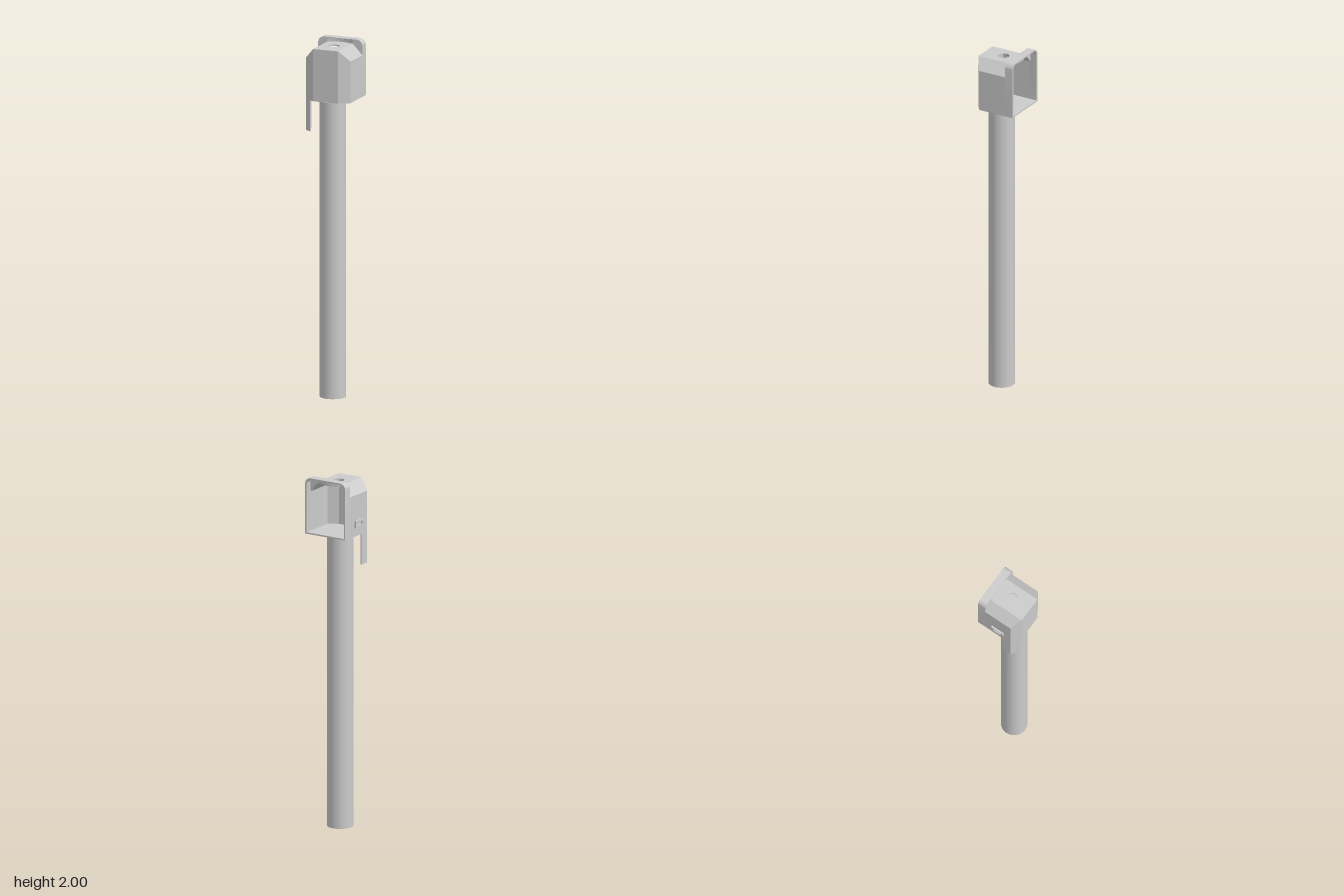
import * as THREE from 'three';
import { toCreasedNormals } from 'three/addons/utils/BufferGeometryUtils.js';

const CX = 0.004;              // housing centre line
const W = 0.1325, M = 0.075;   // half width, half width of the flat front
const FLOOR = 1.68, EAVE = 1.915, ROOF = 1.975, TOP = 2.0;
const FRONT = 0.125, SIDE = 0.088, STEP = -0.08, BACK = -0.128;
const T = 0.008;               // wall thickness

const material = new THREE.MeshStandardMaterial({ color: 0xcccccc, side: THREE.DoubleSide });

// rear edge of the roof bows backwards between the two slopes
const bow = (x) => STEP - 0.017 * Math.max(0, 1 - (x / M) ** 2);

function add(group, name, geometry, x = 0, y = 0, z = 0) {
  const mesh = new THREE.Mesh(geometry, material);
  mesh.name = name;
  mesh.position.set(x, y, z);
  group.add(mesh);
  return mesh;
}

const toShape = (pts) => new THREE.Shape(pts.map(([x, y]) => new THREE.Vector2(x, y)));

// extrude a plan drawn as (x, z) upwards from y0
function plan(shape, y0, height) {
  const g = new THREE.ExtrudeGeometry(shape, { depth: height, bevelEnabled: false, curveSegments: 12 });
  return g.rotateX(Math.PI / 2).translate(0, y0 + height, 0);
}

// chamfered walls and roof slopes, one skin inset by t
function skin(t, out, flip) {
  const w = W - t, m = M - t * 0.4;
  const section = [[-w, FLOOR], [-m, FLOOR], [m, FLOOR], [w, FLOOR],
    [w, EAVE - t * 0.4], [m, ROOF - t], [-m, ROOF - t], [-w, EAVE - t * 0.4]];
  const front = section.map(([x, y]) => [x, y, Math.abs(x) === w ? SIDE - t * 0.4 : FRONT - t]);
  const back = section.map(([x, y]) => [x, y, STEP]);
  const quad = (a, b, c, d) => {
    const q = [a, b, c, a, c, d];
    (flip ? q.reverse() : q).forEach((p) => out.push(...p));
  };
  // three front panels
  quad(front[0], front[1], front[6], front[7]);
  quad(front[1], front[2], front[5], front[6]);
  quad(front[2], front[3], front[4], front[5]);
  // sides and slopes
  for (const [i, j] of [[3, 4], [4, 5], [6, 7], [7, 0]]) quad(front[i], back[i], back[j], front[j]);
}

// arched outline of the rear rim, with extra points along the top edge
function rimOutline(t, Path) {
  const w = W - t, r = 0.035 - t, top = TOP - t;
  const p = new Path();
  p.moveTo(-w, FLOOR + t);
  p.lineTo(w, FLOOR + t);
  p.lineTo(w, top - r);
  p.absarc(w - r, top - r, r, 0, Math.PI / 2, false);
  for (let i = 0; i <= 12; i++) p.lineTo(M - (i / 6) * M, top);
  p.lineTo(-w + r, top);
  p.absarc(-w + r, top - r, r, Math.PI / 2, Math.PI, false);
  p.closePath();
  return p;
}

export function createModel() {
  const model = new THREE.Group();

  // open tube pole
  add(model, 'pole', new THREE.CylinderGeometry(0.073, 0.073, 1.67, 40, 1, true), 0.003, 0.835, 0.022);

  const housing = new THREE.Group();
  housing.name = 'housing';
  housing.position.x = CX;
  model.add(housing);

  // walls
  const pos = [];
  skin(0, pos, false);
  skin(T, pos, true);
  const walls = new THREE.BufferGeometry();
  walls.setAttribute('position', new THREE.Float32BufferAttribute(pos, 3));
  walls.computeVertexNormals();
  add(housing, 'walls', walls);

  // floor plate
  add(housing, 'floor', plan(toShape([[-W, STEP], [W, STEP], [W, SIDE], [M, FRONT], [-M, FRONT], [-W, SIDE]]), FLOOR, T));

  // roof plate with round hole and bowed rear edge
  const arc = [];
  for (let i = 0; i <= 12; i++) {
    const x = -M + (i / 6) * M;
    arc.push([x, bow(x)]);
  }
  const roof = toShape([...arc, [M, FRONT], [-M, FRONT]]);
  const hole = new THREE.Path();
  for (let i = 0; i < 12; i++) {
    const a = (i / 12) * Math.PI * 2;
    hole[i ? 'lineTo' : 'moveTo'](0.032 * Math.cos(a), 0.008 + 0.032 * Math.sin(a));
  }
  hole.closePath();
  roof.holes.push(hole);
  add(housing, 'roof', plan(roof, ROOF - T, T));

  // rear rim, its top front edge pushed back along the bow
  const rimShape = rimOutline(0, THREE.Shape);
  rimShape.holes.push(rimOutline(T, THREE.Path));
  const rim = new THREE.ExtrudeGeometry(rimShape, { depth: STEP - BACK, bevelEnabled: false, curveSegments: 8 });
  rim.translate(0, 0, BACK);
  const v = rim.attributes.position;
  for (let i = 0; i < v.count; i++) {
    if (v.getZ(i) > STEP - 0.001 && v.getY(i) > ROOF) v.setZ(i, bow(v.getX(i)));
  }
  add(housing, 'rearRim', toCreasedNormals(rim, 0.6));

  // curved riser between roof and rim
  const riser = toShape([...arc, ...arc.map(([x, z]) => [x, z - T]).reverse()]);
  add(housing, 'riser', plan(riser, ROOF - T, TOP - ROOF + T));

  // flat corner pieces beside the riser
  for (const s of [-1, 1]) {
    const c = new THREE.Shape();
    c.moveTo(s * M, ROOF - T);
    c.lineTo(s * W, EAVE - T);
    c.lineTo(s * W, TOP - 0.035);
    c.absarc(s * (W - 0.035), TOP - 0.035, 0.035, s > 0 ? 0 : Math.PI, Math.PI / 2, s < 0);
    c.lineTo(s * M, TOP);
    c.closePath();
    const g = new THREE.ExtrudeGeometry(c, { depth: T, bevelEnabled: false, curveSegments: 8 });
    add(housing, s > 0 ? 'leftRimCorner' : 'rightRimCorner', g, 0, 0, STEP - T);
  }

  // angled tab hanging from the right front corner
  const tab = toShape([[-W, 0.035], [-W, SIDE], [-0.099, 0.109], [-0.099, 0.1],
    [-W + T, SIDE - 0.004], [-W + T, 0.035]]);
  add(housing, 'hangingTab', plan(tab, 1.505, FLOOR - 1.505));

  // small raised frame on the right side
  const frame = toShape([[-0.04, -0.02], [0.04, -0.02], [0.04, 0.02], [-0.04, 0.02]]);
  frame.holes.push(toShape([[-0.026, -0.01], [0.026, -0.01], [0.026, 0.01], [-0.026, 0.01]]));
  const frameGeo = new THREE.ExtrudeGeometry(frame, { depth: 0.011, bevelEnabled: false });
  add(housing, 'sideFrame', frameGeo.rotateY(-Math.PI / 2), -W + 0.001, 1.75, 0.005);

  return model;
}
